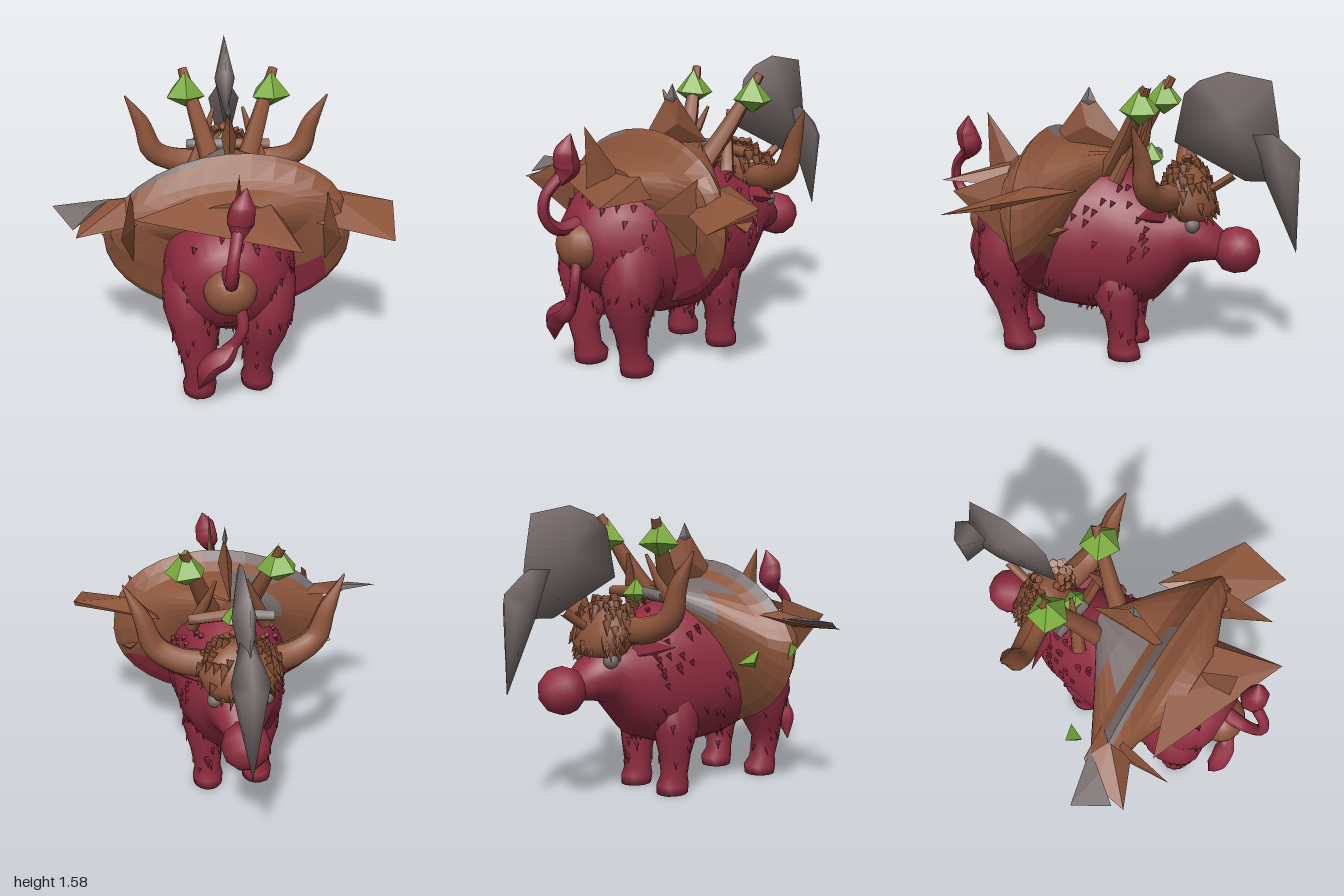
import * as THREE from 'three';
import { mergeGeometries, mergeVertices } from 'three/addons/utils/BufferGeometryUtils.js';
import { ConvexGeometry } from 'three/addons/geometries/ConvexGeometry.js';

const V = (x, y, z) => new THREE.Vector3(x, y, z);

export function createModel() {
  const model = new THREE.Group();
  const mat = (name, color) => {
    const m = new THREE.MeshStandardMaterial({ color });
    m.name = name;
    return m;
  };
  const hide = mat('crimson', 0x8f2c40), brown = mat('brown', 0x8c543a);
  const grey = mat('grey', 0x776c6b), green = mat('green', 0x7aab3c);
  const add = (name, geo, m) => {
    const mesh = new THREE.Mesh(geo, m);
    mesh.name = name;
    model.add(mesh);
  };
  let seed = 7;
  const rnd = () => (seed = (seed * 16807) % 2147483647) / 2147483647;

  // point on an elliptical section [t, x, other, rx, rOther], stacked along z or y
  const onRing = ([t, a, b, ra, rb], ang, axis) => {
    const u = a + ra * Math.cos(ang), v = b + rb * Math.sin(ang);
    return axis === 'z' ? V(u, v, t) : V(u, t, v);
  };
  // closed skin through the sections (ascending t)
  const loft = (secs, axis, n = 24, bump = 0) => {
    const pos = [], idx = [];
    const tri = (a, b, c) => (axis === 'z' ? idx.push(a, b, c) : idx.push(a, c, b));
    secs.forEach(s => {
      for (let j = 0; j < n; j++) {
        const k = 1 + bump * (rnd() - 0.5);
        pos.push(...onRing([s[0], s[1], s[2], s[3] * k, s[4] * k], j / n * Math.PI * 2, axis).toArray());
      }
    });
    const last = secs.length - 1, c0 = pos.length / 3;
    [secs[0], secs[last]].forEach(s => pos.push(...onRing([s[0], s[1], s[2], 0, 0], 0, axis).toArray()));
    for (let j = 0; j < n; j++) {
      const k = (j + 1) % n;
      for (let i = 0; i < last; i++) {
        const a = i * n + j, b = i * n + k;
        tri(a, b, b + n);
        tri(a, b + n, a + n);
      }
      tri(c0, k, j);
      tri(c0 + 1, last * n + j, last * n + k);
    }
    const g = new THREE.BufferGeometry();
    g.setAttribute('position', new THREE.Float32BufferAttribute(pos, 3));
    g.setIndex(idx);
    g.computeVertexNormals();
    return g;
  };
  // small leaning cones scattered over a loft
  const fur = (secs, axis, count, size, lean) => {
    const cones = [];
    for (let i = 0; i < count; i++) {
      const k = Math.floor(rnd() * (secs.length - 1)), f = rnd(), ang = rnd() * Math.PI * 2;
      const s = secs[k].map((v, j) => THREE.MathUtils.lerp(v, secs[k + 1][j], f));
      const p = onRing(s, ang, axis), mid = axis === 'z' ? V(s[1], s[2], s[0]) : V(s[1], s[0], s[2]);
      const dir = p.clone().sub(mid).normalize().multiplyScalar(0.25).add(lean).normalize();
      const g = new THREE.ConeGeometry(size * 0.3, size * (0.7 + rnd() * 0.6), 5);
      g.applyQuaternion(new THREE.Quaternion().setFromUnitVectors(V(0, 1, 0), dir));
      cones.push(g.translate(p.x, p.y, p.z));
    }
    return mergeGeometries(cones);
  };
  // tube whose radius follows a list
  const taper = (pts, radii, sides = 8, seg = 16) => {
    const path = new THREE.CatmullRomCurve3(pts.map(p => V(...p)));
    const g = new THREE.TubeGeometry(path, seg, 1, sides), p = g.attributes.position, v = V(0, 0, 0);
    for (let i = 0; i < p.count; i++) {
      const t = Math.floor(i / (sides + 1)) / seg, c = path.getPointAt(t);
      const f = t * (radii.length - 1), k = Math.min(Math.floor(f), radii.length - 2);
      v.fromBufferAttribute(p, i).sub(c).multiplyScalar(THREE.MathUtils.lerp(radii[k], radii[k + 1], f - k)).add(c);
      p.setXYZ(i, v.x, v.y, v.z);
    }
    g.computeVertexNormals();
    return g;
  };
  const hull = pts => new ConvexGeometry(pts.map(p => V(...p)));
  const smooth = geo => {
    geo.deleteAttribute('normal');
    const g = mergeVertices(geo);
    g.computeVertexNormals();
    return g;
  };
  // upright lens-shaped fin: outline of [z, y] with a swollen middle
  const fin = (x, half, outline) => {
    const [z, y] = [0, 1].map(k => outline.reduce((s, p) => s + p[k], 0) / outline.length);
    return hull([...outline.map(p => [x, p[1], p[0]]), [x - half, y, z], [x + half, y, z]]);
  };

  // body, neck and face; the animal looks toward -z
  const body = [
    [-0.6, 0.02, 0.65, 0.09, 0.08], [-0.52, 0.02, 0.68, 0.13, 0.12], [-0.43, 0.02, 0.71, 0.18, 0.17],
    [-0.35, 0.02, 0.67, 0.21, 0.23], [-0.25, 0.025, 0.64, 0.26, 0.31], [-0.12, 0.028, 0.65, 0.295, 0.37],
    [0, 0.028, 0.66, 0.31, 0.41], [0.12, 0.028, 0.65, 0.33, 0.41], [0.3, 0.025, 0.66, 0.355, 0.4],
    [0.5, 0.025, 0.68, 0.34, 0.36], [0.66, 0.02, 0.71, 0.28, 0.28], [0.75, 0.02, 0.71, 0.2, 0.2], [0.79, 0.02, 0.72, 0.09, 0.1]];
  add('body', loft(body, 'z', 28, 0.03), hide);
  add('bodyFur', fur(body.slice(4, 12), 'z', 170, 0.055, V(0, -0.8, 0.3)), hide);
  add('snout', new THREE.IcosahedronGeometry(0.13, 1).translate(0.02, 0.63, -0.68), hide);
  add('rumpPatch', new THREE.SphereGeometry(0.135, 14, 10).scale(1, 0.95, 0.85).translate(0.02, 0.71, 0.765), brown);

  // legs, each pair slightly staggered
  for (const s of [-1, 1]) {
    const x = d => 0.02 + s * d;
    const hz = s > 0 ? 0.53 : 0.6, fz = s > 0 ? -0.08 : -0.05;
    const hind = [
      [0, x(0.155), hz, 0.085, 0.09], [0.05, x(0.155), hz, 0.09, 0.095], [0.1, x(0.155), hz + 0.02, 0.075, 0.075],
      [0.22, x(0.16), hz + 0.04, 0.085, 0.085], [0.36, x(0.175), 0.59, 0.125, 0.13], [0.5, x(0.19), 0.57, 0.15, 0.18],
      [0.66, x(0.195), 0.55, 0.15, 0.18], [0.82, x(0.16), 0.53, 0.11, 0.12]];
    const fore = [
      [0, x(0.145), fz - 0.015, 0.082, 0.09], [0.05, x(0.145), fz - 0.01, 0.087, 0.09], [0.1, x(0.145), fz, 0.075, 0.075],
      [0.22, x(0.15), fz, 0.09, 0.09], [0.36, x(0.16), -0.05, 0.115, 0.13], [0.55, x(0.16), -0.05, 0.12, 0.15]];
    for (const [name, leg] of [['hindLeg', hind], ['frontLeg', fore]]) {
      add(name, loft(leg, 'y', 14, 0.04), hide);
      add(name + 'Fur', fur(leg.slice(2, 6), 'y', 20, 0.05, V(0, -0.8, 0.1)), hide);
    }
    // horns, ears and eyes
    const h = d => 0.028 + s * d;
    add('horn', taper([[h(0.13), 0.93, -0.36], [h(0.3), 0.95, -0.325], [h(0.42), 1.02, -0.295], [h(0.475), 1.18, -0.29], [h(0.565), 1.36, -0.265]],
      [0.075, 0.07, 0.062, 0.043, 0.004], 10), brown);
    add('ear', hull([[x(0.15), 0.9, -0.33], [x(0.15), 0.79, -0.34], [x(0.16), 0.84, -0.25], [x(0.39), 0.86, -0.24], [x(0.27), 0.9, -0.27], [x(0.27), 0.81, -0.28]]), hide);
    add('eye', new THREE.SphereGeometry(0.042, 10, 8).translate(x(0.135), 0.78, -0.465), grey);
  }

  // shaggy mop on the head
  const mop = [
    [0.8, 0.02, -0.44, 0.16, 0.11], [0.86, 0.02, -0.43, 0.2, 0.14], [0.94, 0.02, -0.41, 0.22, 0.14],
    [1.02, 0.02, -0.4, 0.17, 0.11], [1.07, 0.02, -0.4, 0.08, 0.06]];
  add('mop', loft(mop, 'y', 18, 0.06), brown);
  add('mopFur', fur(mop, 'y', 110, 0.08, V(0, -0.5, -0.05)), brown);

  // two tails with tufts
  add('raisedTail', taper([[0.02, 0.82, 0.78], [0.02, 0.82, 0.9], [0.02, 0.9, 0.97], [0.03, 1.0, 0.965], [0.05, 1.09, 0.89]], [0.045, 0.035, 0.03, 0.028, 0.03], 8, 20), hide);
  add('raisedTuft', taper([[0.05, 1.05, 0.9], [0.06, 1.13, 0.86], [0.07, 1.2, 0.87], [0.09, 1.3, 0.85]], [0.02, 0.07, 0.06, 0.003], 7), hide);
  add('hangingTail', taper([[0.07, 0.64, 0.82], [0.08, 0.54, 0.84], [0.04, 0.44, 0.83], [0, 0.4, 0.83]], [0.03, 0.03, 0.03, 0.035]), hide);
  add('hangingTuft', taper([[0.05, 0.46, 0.83], [0, 0.38, 0.84], [-0.08, 0.32, 0.85], [-0.14, 0.17, 0.83]], [0.02, 0.06, 0.055, 0.003], 7), hide);

  // lens-shaped shell with a sharp rim, its top leaning to one side
  const shellGeo = loft([
    [-0.05, 0.02, 1.1, 0.03, 0.04], [0.12, 0.02, 0.99, 0.31, 0.17], [0.26, 0.015, 0.84, 0.55, 0.33], [0.31, 0.015, 0.81, 0.61, 0.4],
    [0.355, 0.015, 0.8, 0.645, 0.46], [0.38, 0.015, 0.81, 0.635, 0.425], [0.43, 0.015, 0.87, 0.6, 0.27],
    [0.47, 0.015, 0.95, 0.42, 0.16], [0.56, 0.02, 0.98, 0.2, 0.1]], 'z', 32).toNonIndexed();
  const sp = shellGeo.attributes.position;
  for (let i = 0; i < sp.count; i++) {
    const lift = THREE.MathUtils.clamp((sp.getY(i) - 0.8) / 0.2, 0, 1);
    sp.setY(i, sp.getY(i) + 0.09 * sp.getX(i) * lift);
  }
  shellGeo.computeVertexNormals();
  // shell faces sorted into three colours
  for (let i = 0; i < sp.count; i += 3) {
    const [x, y, z] = ['getX', 'getY', 'getZ'].map(k => (sp[k](i) + sp[k](i + 1) + sp[k](i + 2)) / 3);
    const stain = x > 0.3 && y < 0.66;
    const patch = z < 0.27 && x > -0.24 && x < 0.02;
    const strip = z > 0.31 && x > -0.5 && (x < -0.1 ? z < 0.375 : x < 0.12 && z < 0.35);
    shellGeo.addGroup(i, 3, stain ? 1 : y > 1 && (patch || strip) ? 2 : 0);
  }
  add('shell', shellGeo, [brown, hide, grey]);

  // spikes and plates on the shell
  add('topFin', fin(0.03, 0.04, [[-0.1, 1.14], [0.11, 1.4], [0.2, 1.4], [0.4, 1.14]]), brown);
  add('topFinTip', fin(0.03, 0.015, [[0.11, 1.4], [0.15, 1.48], [0.2, 1.4], [0.15, 1.36]]), grey);
  add('rearFin', fin(0.06, 0.03, [[0.745, 1.32], [0.55, 1.07], [0.41, 0.72], [0.74, 0.92]]), brown);
  add('rearPlate', hull([[-0.45, 1.01, 0.59], [0.2, 1.08, 0.46], [-0.15, 1.08, 0.48], [0.36, 0.98, 0.89], [0, 0.96, 0.5], [0.3, 0.96, 0.5]]), brown);
  add('rightPlate', hull([[0.4, 0.98, 0.08], [0.875, 0.99, 0.35], [0.84, 0.91, 0.65], [0.45, 0.92, 0.45], [0.55, 1.02, 0.3], [0.87, 0.96, 0.36]]), brown);
  add('leftPlate', hull([[-0.4, 1.0, 0.27], [-0.64, 0.98, 0.29], [-0.74, 0.92, 0.6], [-0.42, 0.92, 0.45], [-0.5, 1.02, 0.36], [-0.72, 0.95, 0.42]]), brown);
  add('leftPlateTip', hull([[-0.58, 0.99, 0.29], [-0.88, 0.99, 0.37], [-0.76, 0.935, 0.54], [-0.66, 0.99, 0.4], [-0.7, 0.96, 0.4]]), grey);
  for (const s of [-1, 1]) {
    const x = 0.025 + s * 0.5;
    add('sideSpike', hull([[x, 1.08, 0.42], [x - 0.03, 0.9, 0.4], [x + 0.03, 0.9, 0.4], [x, 0.7, 0.44], [x + s * 0.03, 0.97, 0.72]]), brown);
  }
  add('rightShard', hull([[0.57, 0.82, 0.07], [0.52, 0.81, 0.16], [0.62, 0.79, 0.17], [0.57, 0.77, 0.14]]), brown);
  add('leftShard', hull([[-0.475, 0.75, 0.09], [-0.575, 0.77, 0.12], [-0.53, 0.83, 0.2], [-0.52, 0.73, 0.18]]), green);
  add('rimShard', hull([[-0.63, 0.86, 0.33], [-0.62, 0.77, 0.32], [-0.637, 0.83, 0.38], [-0.58, 0.8, 0.36]]), green);

  // stakes behind the neck topped with five-sided green gems
  const gem = (x, y, z, r) => {
    const ring = [0, 1, 2, 3, 4].map(i => [x + r * Math.cos(i * 1.257 + 0.2), y + r * 0.1 * (i % 2), z + r * Math.sin(i * 1.257 + 0.2)]);
    add('gem', hull([[x, y + r * 1.2, z], ...ring, [x, y - r * 0.6, z]]), green);
  };
  for (const s of [-1, 1]) {
    const x = d => 0.035 + s * d;
    add('stake', taper([[x(0.08), 1.02, 0.02], [x(0.15), 1.22, -0.1], [x(0.25), 1.52, -0.25]], [0.06, 0.045, 0.025], 6, 6), brown);
    add('brace', taper([[x(0.2), 1.0, -0.06], [x(0.12), 1.2, -0.14], [x(0.08), 1.32, -0.18]], [0.04, 0.03, 0.008], 6, 6), brown);
    add('crossbar', taper([[x(0), 1.11, -0.16], [x(0.23), 1.1, -0.18]], [0.035, 0.03], 6, 4), s > 0 ? brown : grey);
    gem(x(0.235), 1.38, -0.21, 0.11);
  }
  gem(0.02, 1.1, -0.2, 0.075);

  // axe on the forehead
  add('axeHandle', taper([[0.02, 0.9, -0.45], [0.025, 0.97, -0.56], [0.03, 1.04, -0.66]], [0.028, 0.025, 0.025], 6, 6), brown);
  add('axeBlade', smooth(fin(0.03, 0.06, [[-0.33, 1.2], [-0.38, 1.46], [-0.46, 1.53], [-0.61, 1.58], [-0.84, 1.54], [-0.88, 1.32], [-0.92, 1.02], [-0.72, 1.01]])), grey);
  add('axeHook', smooth(hull([[0.03, 1.34, -0.675], [0.03, 1.28, -0.85], [0.03, 1.15, -1], [0.03, 0.64, -1], [0.03, 0.85, -0.92], [0.03, 1.0, -0.86],
    [-0.065, 1.12, -0.9], [0.125, 1.12, -0.9], [-0.04, 1.08, -0.97], [0.1, 1.08, -0.97]])), grey);
  return model;
}
